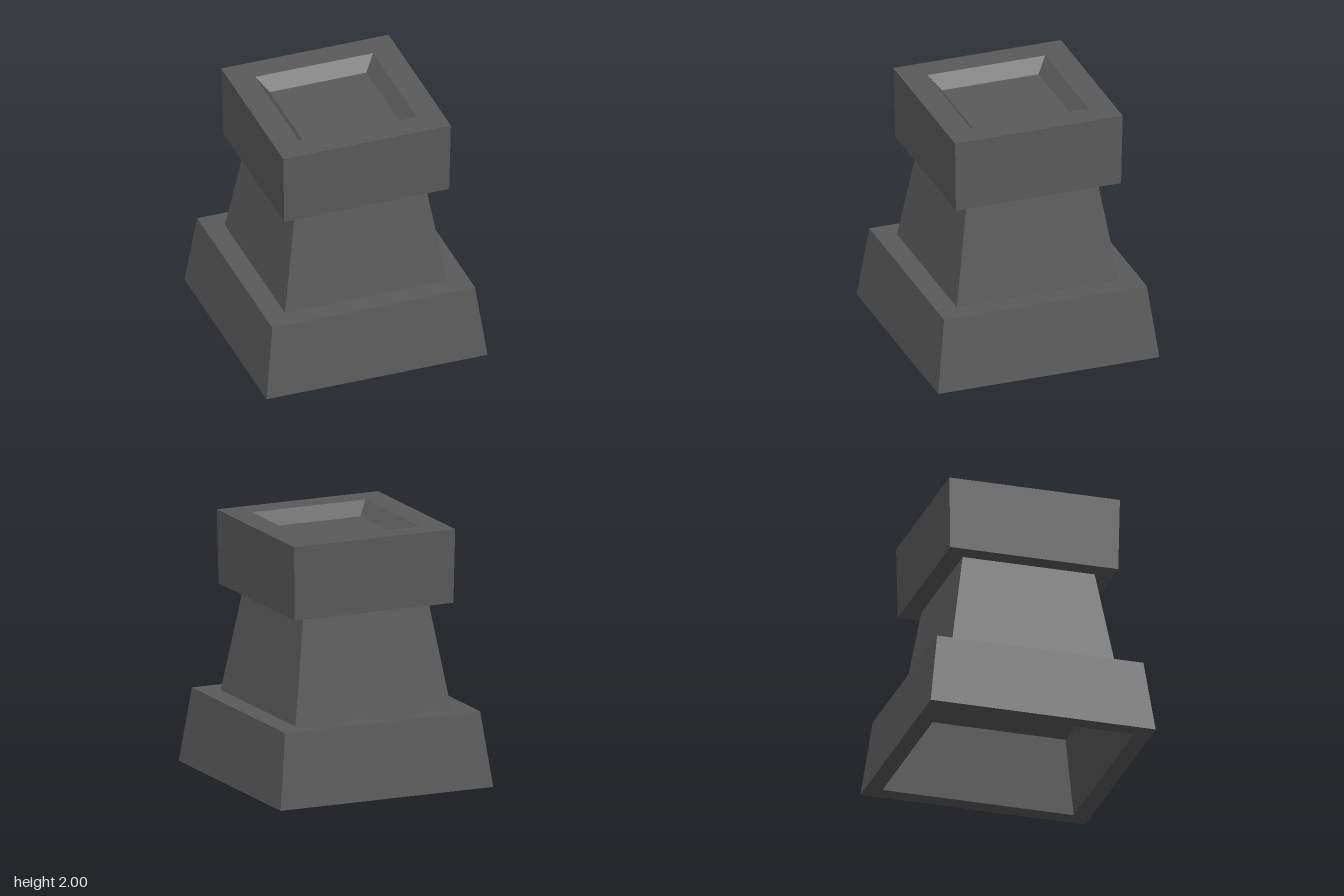
import * as THREE from 'three';

// Square ring surface from a profile of [halfWidth, y] points, with flat faces
function squareLathe(profile) {
  const points = profile.map(([half, y]) => new THREE.Vector2(half * Math.SQRT2, y));
  const geometry = new THREE.LatheGeometry(points, 4, Math.PI / 4).toNonIndexed();
  geometry.computeVertexNormals();
  return geometry;
}

export function createModel() {
  const stone = new THREE.MeshStandardMaterial({ color: 0x5a5a5a });
  stone.name = 'dark stone';

  const parts = {
    // Plinth, hollow underneath with a flat rim
    base: [[0, 0.58], [0.67, 0.58], [0.765, 0], [0.9, 0], [0.825, 0.585], [0.66, 0.585]],
    // Tapered middle
    shaft: [[0.66, 0.585], [0.528, 1.42]],
    // Head block with a shallow bevelled recess on top
    cap: [[0.528, 1.42], [0.672, 1.42], [0.682, 2], [0.48, 2], [0.393, 1.895], [0, 1.895]],
  };

  const group = new THREE.Group();
  group.name = 'pedestal';
  for (const [name, profile] of Object.entries(parts)) {
    const mesh = new THREE.Mesh(squareLathe(profile), stone);
    mesh.name = name;
    group.add(mesh);
  }
  return group;
}
